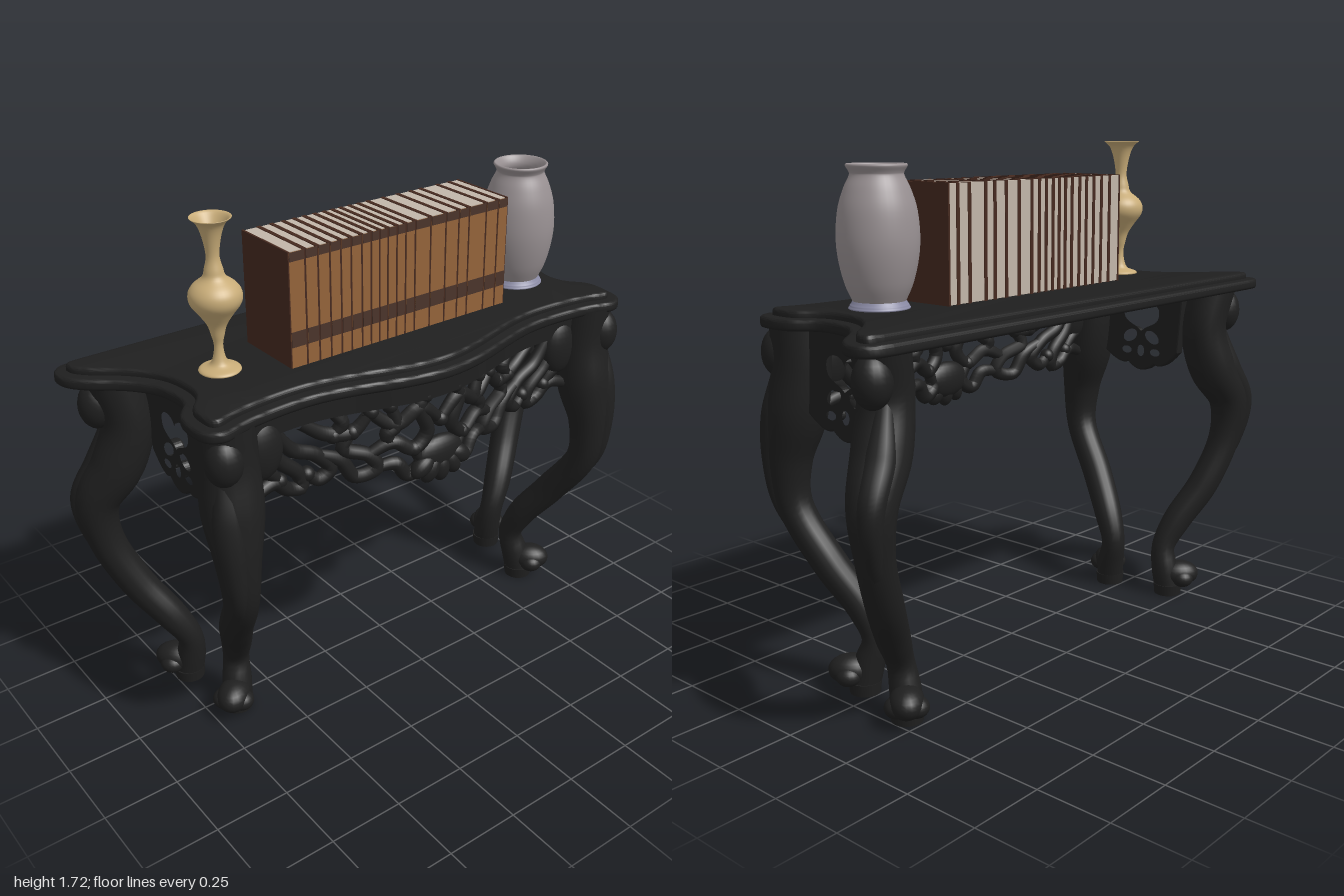
import * as THREE from 'three';
import { toCreasedNormals } from 'three/addons/utils/BufferGeometryUtils.js';

const paint = (name, color) => {
  const m = new THREE.MeshStandardMaterial({ color });
  m.name = name;
  return m;
};

export function createModel() {
  const ebony = paint('ebony wood', 0x1f1f1f);
  const brass = paint('brass', 0xc8ac78);
  const stone = paint('grey ceramic', 0x999193);
  const stoneFoot = paint('blue grey ceramic', 0x8a8aa4);
  const leather = paint('tan leather', 0x94633a);
  const band = paint('dark band', 0x4a342a);
  const cover = paint('cover brown', 0x45291f);
  const paper = paint('paper', 0xc2b6a9);
  stone.side = brass.side = THREE.DoubleSide;

  const model = new THREE.Group();
  const add = (parent, name, geo, mat, x = 0, y = 0, z = 0) => {
    const m = new THREE.Mesh(geo, mat);
    m.name = name;
    m.position.set(x, y, z);
    parent.add(m);
    return m;
  };
  const group = (name, parent = model) => {
    const g = new THREE.Group();
    g.name = name;
    parent.add(g);
    return g;
  };
  const blob = (parent, name, x, y, z, rx, ry, rz) => {
    const m = add(parent, name, new THREE.SphereGeometry(1, 20, 14), ebony, x, y, z);
    m.scale.set(rx, ry, rz);
    return m;
  };

  // Serpentine front edge shared by the top and the apron
  const frontZ = (x) => {
    const a = Math.abs(x);
    return a < 0.5 ? 0.275 + 0.05 * (1 + Math.cos(Math.PI * a / 0.5)) : 0.275 + 0.45 * (a - 0.5) ** 2;
  };

  // Table top: two bevelled layers of one outline
  const top = group('tableTop');
  const side = new THREE.SplineCurve([
    [0.9, -0.38], [0.96, -0.373], [0.993, -0.335], [0.985, -0.275], [0.935, -0.215], [0.855, -0.15], [0.795, -0.07],
    [0.775, 0.01], [0.78, 0.08], [0.825, 0.14], [0.84, 0.2], [0.83, 0.28], [0.78, 0.315], [0.71, 0.297],
  ].map((p) => new THREE.Vector2(...p))).getPoints(52);
  const front = [];
  for (let i = 1; i < 56; i++) {
    const x = 0.7 - i * 0.025;
    front.push(new THREE.Vector2(x, frontZ(x)));
  }
  const mirrored = side.map((p) => new THREE.Vector2(-p.x, p.y)).reverse();
  const outline = new THREE.Shape([...side, ...front, ...mirrored]);
  const layer = (name, yTop, height, bevel, inset) => {
    const geo = new THREE.ExtrudeGeometry(outline, {
      depth: height - 2 * bevel, bevelEnabled: true, bevelThickness: bevel, bevelSize: bevel,
      bevelOffset: -bevel - inset, bevelSegments: 3,
    });
    geo.rotateX(Math.PI / 2);
    add(top, name, toCreasedNormals(geo, 0.7), ebony, 0, yTop - bevel, 0);
  };
  layer('mouldedEdge', 1.213, 0.036, 0.01, 0);
  layer('topPanel', 1.235, 0.035, 0.01, 0.038);

  // Tapered limb: rows of x, y, z, radius
  const limb = (rows, s, sides = 18) => {
    const path = new THREE.CatmullRomCurve3(rows.map(([x, y, z]) => new THREE.Vector3(s * x, y, z)));
    const radii = new THREE.SplineCurve(rows.map((r, i) => new THREE.Vector2(i, r[3])));
    const n = 48;
    const geo = new THREE.TubeGeometry(path, n, 1, sides);
    const pos = geo.attributes.position;
    const nor = geo.attributes.normal;
    for (let i = 0; i <= n; i++) {
      const c = path.getPointAt(i / n);
      const r = radii.getPoint(path.getUtoTmapping(i / n)).y;
      for (let j = 0; j <= sides; j++) {
        const k = i * (sides + 1) + j;
        pos.setXYZ(k, c.x + nor.getX(k) * r, c.y + nor.getY(k) * r, c.z + nor.getZ(k) * r);
      }
    }
    return toCreasedNormals(geo, 1);
  };

  const frontRows = [
    [0.73, 1.19, 0.22, 0.092], [0.725, 1.05, 0.222, 0.093], [0.732, 0.9, 0.245, 0.096], [0.742, 0.75, 0.275, 0.072],
    [0.735, 0.6, 0.268, 0.057], [0.695, 0.42, 0.155, 0.056], [0.645, 0.28, 0.06, 0.052], [0.63, 0.18, 0.022, 0.044],
    [0.642, 0.1, 0.04, 0.05], [0.652, 0.03, 0.052, 0.05],
  ];
  const backRows = [
    [0.84, 1.19, -0.26, 0.085], [0.81, 1.03, -0.245, 0.083], [0.85, 0.88, -0.265, 0.088], [0.92, 0.75, -0.298, 0.074],
    [0.908, 0.6, -0.292, 0.059], [0.835, 0.42, -0.25, 0.057], [0.75, 0.28, -0.19, 0.053], [0.7, 0.18, -0.165, 0.044],
    [0.695, 0.1, -0.178, 0.05], [0.7, 0.03, -0.19, 0.05],
  ];
  const leg = (name, rows, s, dz, knob) => {
    const g = group(name);
    add(g, 'cabrioleLeg', limb(rows, s), ebony);
    // Low leaf rib down the knee
    const rib = rows.slice(1, 6).map(([x, y, z, r], i) =>
      [x + r * 0.45, y, z + dz * r * 0.45, [0.03, 0.05, 0.042, 0.03, 0.01][i]]);
    add(g, 'kneeLeaf', limb(rib, s, 12), ebony);
    // Scroll at the shoulder
    blob(g, 'shoulderScroll', s * knob[0], 1.095, knob[1], 0.06, 0.08, 0.058);
    // Paw foot: one pad swelling outward with low toes
    const [fx, , fz] = rows[9];
    const paw = blob(g, 'paw', s * (fx + 0.03), 0.078, fz + dz * 0.03, 0.075, 0.05, 0.055);
    paw.rotation.y = -s * dz * Math.PI / 4;
    for (const a of [-0.5, 0.5]) {
      const t = Math.PI / 4 + a;
      blob(g, 'toe', s * (fx + 0.058 * Math.cos(t)), 0.066, fz + dz * 0.058 * Math.sin(t), 0.042, 0.034, 0.042);
    }
    add(g, 'footPad', new THREE.CylinderGeometry(0.054, 0.05, 0.04, 20), ebony, s * fx, 0.02, fz);
  };
  for (const s of [1, -1]) {
    const sideName = s > 0 ? 'left' : 'right';
    leg(sideName + 'FrontLeg', frontRows, s, 1, [0.765, 0.272]);
    leg(sideName + 'BackLeg', backRows, s, -1, [0.89, -0.28]);
  }

  // Front apron: curved rail with pierced scrollwork hanging from it
  const apron = group('frontApron');
  const rail = new THREE.Shape();
  const railX = Array.from({ length: 53 }, (_, i) => -0.65 + i * 0.025);
  railX.forEach((x, i) => rail[i ? 'lineTo' : 'moveTo'](x, frontZ(x) - 0.035));
  railX.reverse().forEach((x) => rail.lineTo(x, frontZ(x) - 0.085));
  const railGeo = new THREE.ExtrudeGeometry(rail, { depth: 0.075, bevelEnabled: false });
  railGeo.rotateX(Math.PI / 2);
  add(apron, 'rail', toCreasedNormals(railGeo, 0.6), ebony, 0, 1.18, 0);
  const strands = [
    [[0.68, 0.9], [0.57, 0.93], [0.52, 0.89], [0.47, 0.88], [0.48, 0.93], [0.55, 1], [0.6, 1.08]],
    [[0.68, 1.0], [0.6, 0.98], [0.55, 0.93]],
    [[0.56, 1.1], [0.5, 1.02], [0.42, 0.98], [0.37, 0.92], [0.41, 0.89], [0.45, 0.92]],
    [[0.47, 1.1], [0.38, 1.04], [0.3, 1.03], [0.24, 1.09]],
    [[0.36, 1.11], [0.33, 1.07], [0.36, 1.03]],
    [[0.42, 0.98], [0.34, 0.94], [0.29, 0.87], [0.22, 0.89], [0.25, 0.94], [0.33, 0.98], [0.3, 1.03]],
    [[0.26, 1.1], [0.16, 1.03], [0.08, 1.07], [0, 1.01]],
    [[0.25, 0.94], [0.17, 0.97], [0.1, 0.93], [0.05, 0.98], [0.08, 1.07], [0.06, 1.11]],
    [[0.22, 0.89], [0.16, 0.89], [0.12, 0.84], [0.07, 0.87], [0.1, 0.93]],
    [[0.17, 0.96], [0.19, 1], [0.16, 1.03], [0.18, 1.1]],
  ];
  for (const s of [1, -1]) {
    for (const pts of strands) {
      const last = pts.length - 1;
      const rows = pts.map(([x, y], i) => [x, y, frontZ(x) - 0.06, i === 0 || i === last ? 0.019 : 0.024]);
      add(apron, 'scroll', limb(rows, s, 8), ebony);
      blob(apron, 'scrollEnd', s * pts[last][0], pts[last][1], frontZ(pts[last][0]) - 0.06, 0.026, 0.026, 0.026);
    }
    blob(apron, 'cornerBracket', s * 0.61, 1.06, 0.225, 0.07, 0.1, 0.04);
  }
  // Shell at the centre
  blob(apron, 'shell', 0, 0.885, 0.312, 0.1, 0.065, 0.035);
  for (let i = -2; i <= 2; i++) {
    const a = i * 0.5;
    blob(apron, 'shellLobe', Math.sin(a) * 0.09, 0.893 - Math.cos(a) * 0.056, 0.322, 0.032, 0.05, 0.03).rotation.z = a;
  }

  // Side aprons: pierced panels between front and back legs
  const panel = new THREE.Shape();
  panel.moveTo(-0.17, 1.18);
  panel.lineTo(0.2, 1.18);
  panel.lineTo(0.18, 0.94);
  panel.quadraticCurveTo(0.11, 0.86, 0.08, 0.89);
  panel.quadraticCurveTo(0.02, 0.83, -0.04, 0.89);
  panel.quadraticCurveTo(-0.07, 0.86, -0.17, 0.94);
  // Heart opening above smaller piercings
  const heart = new THREE.Path();
  heart.moveTo(0.02, 1.085);
  heart.bezierCurveTo(0.03, 1.125, 0.11, 1.125, 0.1, 1.07);
  heart.bezierCurveTo(0.095, 1.03, 0.05, 1.035, 0.02, 1.005);
  heart.bezierCurveTo(-0.01, 1.035, -0.055, 1.03, -0.06, 1.07);
  heart.bezierCurveTo(-0.07, 1.125, 0.01, 1.125, 0.02, 1.085);
  panel.holes.push(heart);
  const hole = (x, y, rx, ry, tilt = 0) => {
    const h = new THREE.Path();
    h.absellipse(x, y, rx, ry, 0, Math.PI * 2, true, tilt);
    panel.holes.push(h);
  };
  for (const s of [1, -1]) {
    hole(0.02 + s * 0.05, 0.985, 0.034, 0.022, -s * 0.5);
    hole(0.02 + s * 0.065, 0.928, 0.022, 0.014);
  }
  hole(0.02, 0.93, 0.016, 0.022);
  const panelGeo = new THREE.ExtrudeGeometry(panel, {
    depth: 0.025, bevelEnabled: true, bevelThickness: 0.006, bevelSize: 0.006, bevelSegments: 2, curveSegments: 12,
  });
  panelGeo.rotateY(Math.PI / 2);
  for (const s of [1, -1]) add(model, 'sideApron', panelGeo, ebony, s * 0.745 - 0.0125, 0, 0);

  // Row of books, spines to the front
  const books = group('books');
  const widths = [11, 8.5, 8, 7.5, 7, 7.5, 6.5, 6, 6, 6.5, 6.5, 7, 11.5, 11.5, 10, 8, 13.5, 9.5, 8];
  const unit = 0.86 / widths.reduce((a, b) => a + b);
  let x = -0.43;
  for (const w of widths) {
    const book = group('book', books);
    const t = w * unit;
    const c = x + t / 2;
    const box = (name, mat, bw, bh, bd, by, bz, bx = c) =>
      add(book, name, new THREE.BoxGeometry(bw, bh, bd), mat, bx, by, bz);
    for (const s of [1, -1]) box('bookCover', cover, 0.007, 0.37, 0.25, 1.42, 0, c + s * (t / 2 - 0.0035));
    box('pages', paper, t - 0.014, 0.366, 0.24, 1.42, -0.003);
    box('spine', leather, t - 0.007, 0.366, 0.006, 1.419, 0.1235);
    box('spineBand', band, t - 0.007, 0.05, 0.003, 1.328, 0.1265);
    box('spineCap', band, t - 0.007, 0.028, 0.003, 1.589, 0.1265);
    x += t;
  }

  // Turned vessels
  const turned = (parent, name, mat, px, pts) => {
    const curve = new THREE.SplineCurve(pts.map((p) => new THREE.Vector2(...p)));
    const prof = curve.getPoints(pts.length * 4).map((p) => new THREE.Vector2(Math.max(p.x, 0), p.y));
    add(parent, name, new THREE.LatheGeometry(prof, 40), mat, px, 0, 0);
  };
  turned(group('brassVase'), 'vaseBody', brass, -0.605, [
    [0, 1.236], [0.06, 1.236], [0.06, 1.246], [0.03, 1.258], [0.018, 1.285], [0.014, 1.32], [0.02, 1.35], [0.03, 1.385],
    [0.052, 1.42], [0.077, 1.455], [0.08, 1.485], [0.066, 1.51], [0.036, 1.535], [0.028, 1.56], [0.02, 1.6],
    [0.028, 1.655], [0.042, 1.695], [0.062, 1.715], [0.05, 1.708], [0.024, 1.66], [0.013, 1.6], [0, 1.58],
  ]);
  const urn = group('ceramicVase');
  turned(urn, 'vaseBody', stone, 0.6, [
    [0.08, 1.26], [0.102, 1.31], [0.119, 1.38], [0.125, 1.45], [0.118, 1.53], [0.1, 1.59], [0.082, 1.628],
    [0.082, 1.64], [0.092, 1.658], [0.084, 1.662], [0.07, 1.63], [0.09, 1.58], [0.108, 1.45], [0.09, 1.32], [0, 1.28],
  ]);
  turned(urn, 'vaseFoot', stoneFoot, 0.6, [
    [0, 1.236], [0.086, 1.236], [0.09, 1.246], [0.085, 1.254], [0.079, 1.264],
  ]);
  return model;
}
